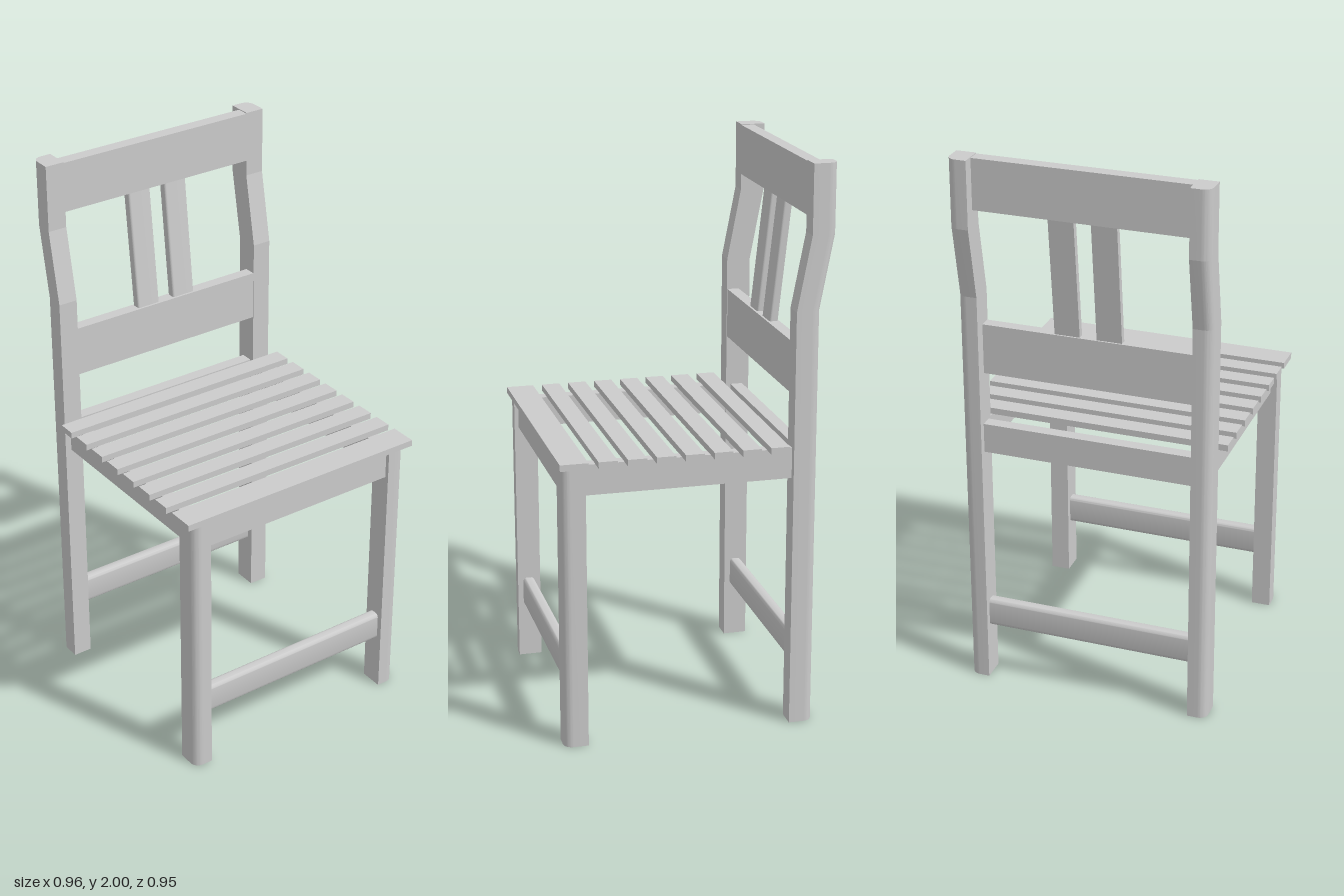
import * as THREE from 'three';
import { toCreasedNormals } from 'three/addons/utils/BufferGeometryUtils.js';

const grey = new THREE.MeshStandardMaterial({ color: 0xcccccc });

function add(group, name, geometry) {
  const mesh = new THREE.Mesh(geometry, grey);
  mesh.name = name;
  group.add(mesh);
  return mesh;
}

// Plain board given by its limits on each axis
function board(group, name, x0, x1, y0, y1, z0, z1) {
  const geo = new THREE.BoxGeometry(x1 - x0, y1 - y0, z1 - z0);
  geo.translate((x0 + x1) / 2, (y0 + y1) / 2, (z0 + z1) / 2);
  return add(group, name, geo);
}

// Closed outline through corners [x, y, radius]
function roundedOutline(corners) {
  const shape = new THREE.Shape();
  const n = corners.length;
  const toward = ([x, y, r], [tx, ty]) => {
    const d = Math.hypot(tx - x, ty - y);
    return [x + (tx - x) * r / d, y + (ty - y) * r / d];
  };
  corners.forEach((c, i) => {
    const a = toward(c, corners[(i + n - 1) % n]);
    const b = toward(c, corners[(i + 1) % n]);
    if (i === 0) shape.moveTo(...a); else shape.lineTo(...a);
    if (c[2] > 0) {
      const k = 0.448; // makes the cubic follow a quarter circle
      const h = (p) => [c[0] + (p[0] - c[0]) * k, c[1] + (p[1] - c[1]) * k];
      shape.bezierCurveTo(...h(a), ...h(b), ...b);
    }
  });
  shape.closePath();
  return shape;
}

// Upright whose plan is extruded through given heights, each with an x shift
function upright(group, name, corners, levels) {
  const steps = levels.length - 1;
  const geo = new THREE.ExtrudeGeometry(roundedOutline(corners), {
    depth: steps, steps, bevelEnabled: false, curveSegments: 12,
  });
  geo.rotateX(-Math.PI / 2);
  const p = geo.attributes.position;
  for (let i = 0; i < p.count; i++) {
    const [y, shift] = levels[Math.round(p.getY(i))];
    p.setXYZ(i, p.getX(i) + shift, y, p.getZ(i));
  }
  return add(group, name, toCreasedNormals(geo, 0.17));
}

// Crossbar along z with softened long edges
function crossbar(group, name, x0, x1, y0, y1, r) {
  const outline = roundedOutline([[x0, y0, r], [x1, y0, r], [x1, y1, r], [x0, y1, r]]);
  const geo = new THREE.ExtrudeGeometry(outline, { depth: 0.77, bevelEnabled: false, curveSegments: 8 });
  geo.translate(0, 0, -0.385);
  return add(group, name, toCreasedNormals(geo, 0.4));
}

export function createModel() {
  const chair = new THREE.Group();
  chair.name = 'chair';

  for (const s of [1, -1]) {
    const inner = 0.38 * s, outer = 0.45 * s;
    // Back posts kick backwards above the seat, outer rear edge rounded
    upright(chair, 'backPost',
      [[-0.43, inner, 0], [-0.343, inner, 0], [-0.343, outer, 0], [-0.43, outer, 0.032]],
      [[0, 0], [1.5, 0], [1.76, -0.05], [2, -0.05]]);
    // Front legs, outer front edge rounded
    upright(chair, 'frontLeg',
      [[0.385, inner, 0], [0.47, inner, 0], [0.47, outer, 0.032], [0.385, outer, 0]],
      [[0, 0], [1.018, 0]]);
    // Side rails of the seat frame
    board(chair, 'sideRail', -0.345, 0.387, 0.91, 1.018,
      Math.min(0.383 * s, 0.427 * s), Math.max(0.383 * s, 0.427 * s));
  }

  // Seat frame front and back
  board(chair, 'frontRail', 0.41, 0.455, 0.91, 1.018, -0.381, 0.381);
  board(chair, 'rearRail', -0.405, -0.36, 0.91, 1.018, -0.381, 0.381);

  // Low stretchers
  crossbar(chair, 'frontStretcher', 0.407, 0.45, 0.205, 0.312, 0.014);
  crossbar(chair, 'rearStretcher', -0.408, -0.365, 0.205, 0.312, 0.014);

  // Backrest rails
  board(chair, 'topBackRail', -0.44, -0.393, 1.817, 1.997, -0.381, 0.381);
  board(chair, 'lowerBackRail', -0.388, -0.345, 1.205, 1.387, -0.381, 0.381);

  // Leaning backrest spindles with softened front edges
  for (const s of [1, -1]) {
    const a = 0.03 * s, b = 0.12 * s;
    const spindle = upright(chair, 'backSpindle',
      [[-0.381, a, 0], [-0.352, a, 0.008], [-0.352, b, 0.008], [-0.381, b, 0]],
      [[1.38, 0], [1.825, -0.048]]);
    spindle.name = s > 0 ? 'leftBackSpindle' : 'rightBackSpindle';
  }

  // Seat slats, the front one wider
  for (let i = 0; i < 7; i++) {
    const x = -0.32 + i * 0.1;
    board(chair, 'seatSlat', x, x + 0.066, 1.017, 1.04, -0.476, 0.476);
  }
  board(chair, 'frontSeatSlat', 0.38, 0.478, 1.017, 1.04, -0.476, 0.476);

  return chair;
}
